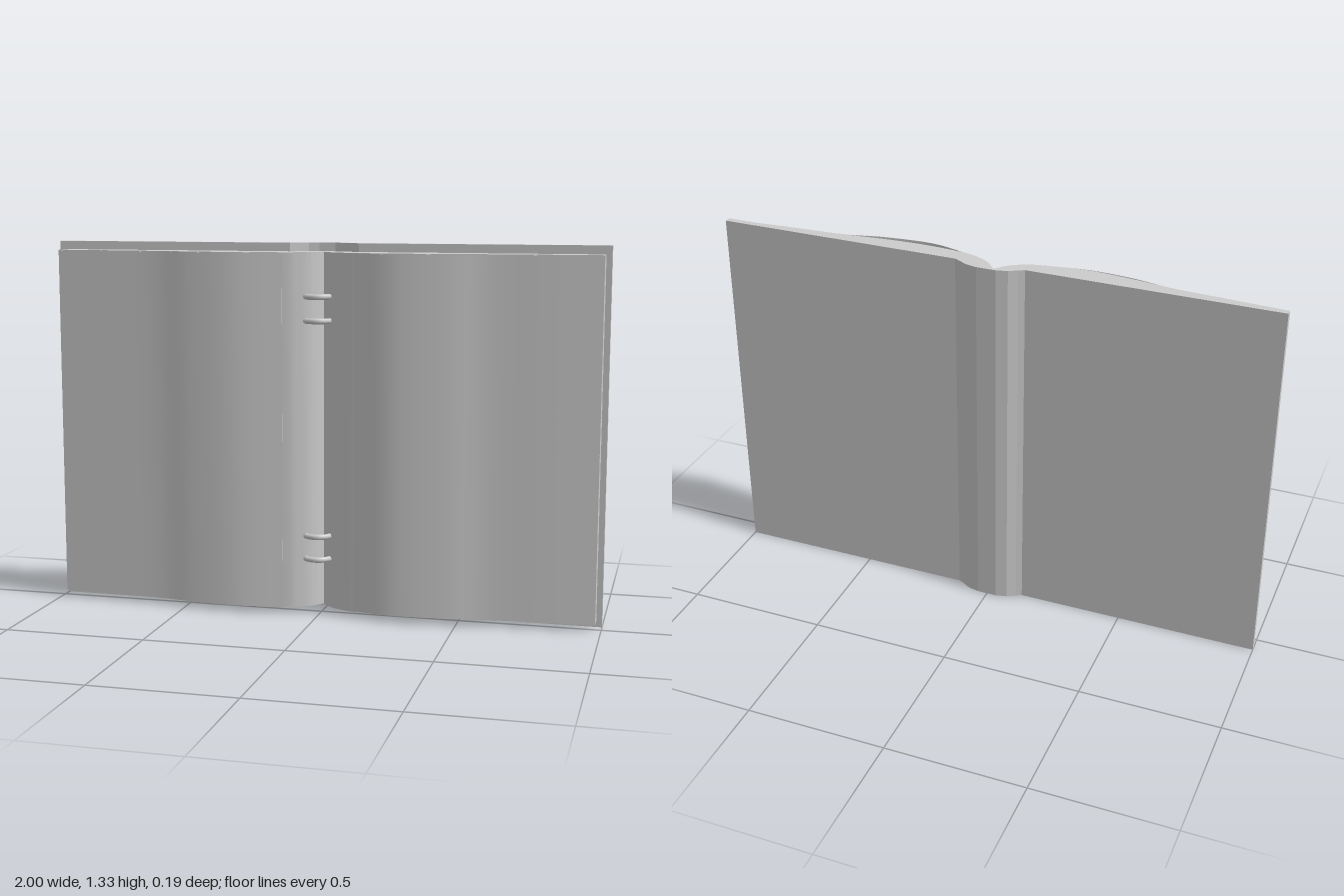
import * as THREE from 'three';
import { toCreasedNormals } from 'three/addons/utils/BufferGeometryUtils.js';

const material = new THREE.MeshStandardMaterial({ color: 0xcccccc, side: THREE.DoubleSide });

const smoothLine = (points, n) =>
  new THREE.SplineCurve(points.map(([x, z]) => new THREE.Vector2(x, z))).getPoints(n).map(p => [p.x, p.y]);

// Upright slab from an outline given as [x, z] points
function upright(name, outline, y0, y1, crease = 0.3) {
  const shape = new THREE.Shape(outline.map(([x, z]) => new THREE.Vector2(x, -z)));
  let geo = new THREE.ExtrudeGeometry(shape, { depth: y1 - y0, bevelEnabled: false });
  geo.rotateX(-Math.PI / 2);
  geo.translate(0, y0, 0);
  geo = toCreasedNormals(geo, crease);
  const mesh = new THREE.Mesh(geo, material);
  mesh.name = name;
  return mesh;
}

// Band of even thickness: the path, then the path back again shifted in z
const band = (path, t) => [...path, ...path.map(([x, z]) => [x, z - t]).reverse()];

// Mirror a half path running outward from the gutter into a full path
const fullPath = half => [...half.slice().reverse().map(([x, z]) => [-x, z]), ...half];

export function createModel() {
  const book = new THREE.Group();
  book.name = 'openBook';

  // Hard cover with a faceted, rounded spine
  const outer = fullPath([[0.035, -0.097], [0.075, -0.088], [0.105, -0.07], [0.125, -0.06], [1, -0.06]]);
  const inner = fullPath([[0.03, -0.083], [0.065, -0.075], [0.095, -0.057], [0.125, -0.037], [1, -0.037]]);
  book.add(upright('cover', [...outer, ...inner.reverse()], 0, 1.325, 0.05));

  // Endpaper lining that arches over the spine
  const lining = fullPath([[0.02, -0.067], [0.06, -0.056], [0.12, -0.024], [0.98, -0.024]]);
  book.add(upright('endpaper', band(lining, 0.0125), 0.022, 1.295, 0.1));

  // Page blocks, each rising out of the gutter and thinning to the fore edge
  const fronts = {
    left: [[0, -0.03], [0.03, 0.008], [0.07, 0.035], [0.13, 0.056], [0.3, 0.077],
      [0.45, 0.067], [0.6, 0.046], [0.8, 0.034], [0.98, 0.024]],
    right: [[0, -0.03], [0.03, 0.008], [0.07, 0.035], [0.13, 0.056], [0.26, 0.068],
      [0.42, 0.064], [0.6, 0.046], [0.8, 0.034], [0.98, 0.02]],
  };
  const back = [[0.98, -0.024], [0.12, -0.024], [0.06, -0.056], [0.02, -0.067], [0, -0.067]];
  for (const [name, front] of Object.entries(fronts)) {
    const s = name === 'left' ? -1 : 1;
    const outline = [...smoothLine(front, 40), ...back].map(([x, z]) => [s * x, z]);
    book.add(upright(s < 0 ? 'pagesAtMinusX' : 'pagesAtPlusX', outline, 0.022, 1.295));
  }

  // Loose top sheets, lifting off the block slightly more toward the top
  const sheets = [
    ['topSheetAtMinusX', -1, [[0.13, 0.057], [0.3, 0.081], [0.46, 0.073], [0.6, 0.05], [0.8, 0.037], [0.98, 0.027]]],
    ['topSheetAtPlusX', 1, [[0.13, 0.058], [0.27, 0.089], [0.45, 0.079], [0.6, 0.051], [0.8, 0.038], [0.98, 0.024]]],
  ];
  for (const [name, s, path] of sheets) {
    const line = smoothLine(path, 24).map(([x, z]) => [s * x, z]);
    const sheet = upright(name, band(line, 0.002), 0.026, 1.293);
    const pos = sheet.geometry.attributes.position;
    for (let i = 0; i < pos.count; i++) {
      const lift = Math.max(0, pos.getZ(i) - 0.05) * 0.14 * (pos.getY(i) / 1.3);
      pos.setZ(i, pos.getZ(i) + lift);
    }
    book.add(sheet);
  }

  // Binder rings bridging the gutter, in two pairs
  const arc = new THREE.CatmullRomCurve3([
    [-0.052, 0.015], [-0.05, 0.03], [-0.025, 0.043], [0, 0.043], [0.022, 0.028], [0.034, 0.008],
  ].map(([x, z]) => new THREE.Vector3(x, 0, z)));
  const ringGeo = new THREE.TubeGeometry(arc, 20, 0.01, 8);
  for (const y of [0.2, 0.283, 1.055, 1.14]) {
    const ring = new THREE.Mesh(ringGeo, material);
    ring.name = 'ring';
    ring.position.y = y;
    book.add(ring);
  }
  return book;
}
